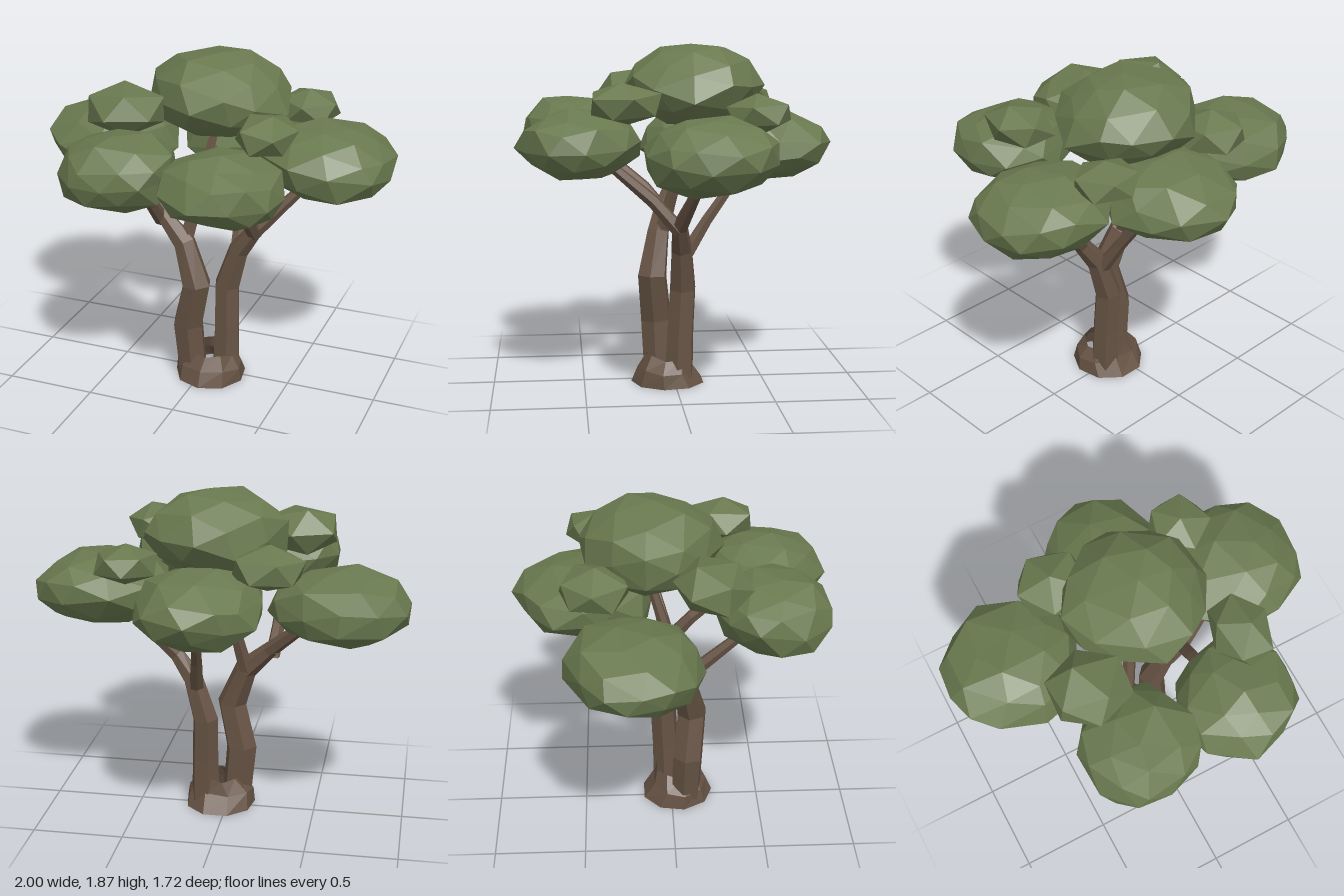
import * as THREE from 'three';
import { mergeVertices } from 'three/addons/utils/BufferGeometryUtils.js';

const bark = new THREE.MeshStandardMaterial({ color: 0x665344, flatShading: true, side: THREE.DoubleSide });
const leaf = new THREE.MeshStandardMaterial({ color: 0x69794f, flatShading: true });

function seeded(seed) {
  let s = seed * 7919 + 17;
  return () => (s = (s * 16807) % 2147483647) / 2147483647;
}

function facet(geometry) {
  const g = geometry.toNonIndexed();
  g.computeVertexNormals();
  return g;
}

// Open faceted limb lofted through points [x, y, z, radius]
function limb(points, sides = 6) {
  const centres = points.map(p => new THREE.Vector3(p[0], p[1], p[2]));
  const up = new THREE.Vector3(0, 1, 0);
  const pos = [], index = [];
  centres.forEach((c, i) => {
    const before = centres[Math.max(i - 1, 0)];
    const after = centres[Math.min(i + 1, centres.length - 1)];
    const q = new THREE.Quaternion().setFromUnitVectors(up, after.clone().sub(before).normalize());
    for (let k = 0; k < sides; k++) {
      const a = (k + 0.3) / sides * Math.PI * 2;
      const v = new THREE.Vector3(Math.sin(a), 0, Math.cos(a)).multiplyScalar(points[i][3]);
      pos.push(...v.applyQuaternion(q).add(c).toArray());
      if (i === 0) continue;
      const n = (k + 1) % sides, lo = (i - 1) * sides, hi = i * sides;
      index.push(lo + k, lo + n, hi + n, lo + k, hi + n, hi + k);
    }
  });
  const g = new THREE.BufferGeometry();
  g.setAttribute('position', new THREE.Float32BufferAttribute(pos, 3));
  g.setIndex(index);
  return facet(g);
}

// Flared, uneven root base: rings of [y, centre x, centre z, radius x, radius z]
function roots(rings, sides = 9) {
  const rnd = seeded(5);
  const g = new THREE.CylinderGeometry(1, 1, 1, sides, rings.length - 1, true);
  const p = g.attributes.position;
  const uneven = Array.from({ length: sides }, () => (rnd() - 0.5) * 0.06);
  for (let i = 0; i < p.count; i++) {
    const ring = Math.round((p.getY(i) + 0.5) * (rings.length - 1));
    const [y, cx, cz, rx, rz] = rings[ring];
    const lift = ring ? uneven[(i % (sides + 1)) % sides] * ring * 0.5 : 0;
    p.setXYZ(i, cx + p.getX(i) * rx, y + lift, cz + p.getZ(i) * rz);
  }
  return facet(g);
}

// Irregular leaf clump fitted to the box between min and max
function clump(min, max, detail, seed) {
  const rnd = seeded(seed);
  let g = new THREE.IcosahedronGeometry(1, detail);
  g.deleteAttribute('uv');
  g.deleteAttribute('normal');
  g = mergeVertices(g, 1e-3);
  g.rotateX(rnd() * 3).rotateY(rnd() * 6);
  const p = g.attributes.position;
  const jitter = detail ? 0.16 : 0.08;
  for (let i = 0; i < p.array.length; i++) p.array[i] += (rnd() - 0.5) * jitter;
  g.computeBoundingBox();
  const size = g.boundingBox.getSize(new THREE.Vector3());
  const mid = g.boundingBox.getCenter(new THREE.Vector3());
  g.translate(-mid.x, -mid.y, -mid.z);
  g.scale(...[0, 1, 2].map(i => (max[i] - min[i]) / size.getComponent(i)));
  g.translate(...[0, 1, 2].map(i => (max[i] + min[i]) / 2));
  return facet(g);
}

export function createModel() {
  const tree = new THREE.Group();
  tree.name = 'tree';
  const add = (name, geometry, material) => {
    const mesh = new THREE.Mesh(geometry, material);
    mesh.name = name;
    tree.add(mesh);
  };

  add('rootBase', roots([
    [0, 0.045, 0.033, 0.2, 0.205],
    [0.09, 0.045, 0.048, 0.19, 0.155],
    [0.17, 0.06, 0.035, 0.125, 0.125],
  ]), bark);

  // Twin trunks and the branches that fork from them
  const limbs = {
    leftTrunk: [[-0.045, 0.03, 0.08, 0.085], [-0.07, 0.33, 0.09, 0.09], [-0.01, 0.59, 0.115, 0.085],
      [-0.095, 0.81, 0.075, 0.065], [-0.23, 0.94, 0.04, 0.045], [-0.47, 1.16, -0.08, 0.03], [-0.6, 1.28, -0.15, 0.022]],
    rightTrunk: [[0.12, 0.03, -0.02, 0.085], [0.12, 0.3, -0.03, 0.078], [0.115, 0.54, -0.043, 0.076],
      [0.185, 0.77, -0.03, 0.06], [0.285, 0.91, -0.01, 0.045], [0.52, 1.16, -0.09, 0.028], [0.62, 1.27, -0.13, 0.022]],
    frontLeftBranch: [[-0.25, 0.91, 0.03, 0.042], [-0.265, 1.05, 0.14, 0.037], [-0.27, 1.3, 0.42, 0.025]],
    frontRightBranch: [[0.285, 0.89, -0.01, 0.042], [0.275, 1.05, 0.13, 0.037], [0.28, 1.3, 0.42, 0.025]],
    crownBranch: [[-0.1, 0.8, 0.06, 0.045], [-0.05, 1.04, 0.0, 0.036], [0.02, 1.5, -0.14, 0.022]],
    backBranch: [[0.165, 0.73, -0.05, 0.042], [0.14, 0.92, -0.17, 0.033], [0.1, 1.28, -0.43, 0.022]],
  };
  for (const [name, points] of Object.entries(limbs)) add(name, limb(points), bark);

  // Leaf clumps: name, min corner, max corner, detail
  const clumps = [
    ['leftClump', [-1, 1.11, -0.57], [-0.25, 1.5, 0.15], 1],
    ['rightClump', [0.29, 1.13, -0.49], [1, 1.53, 0.2], 1],
    ['frontLeftClump', [-0.57, 1.18, 0.21], [0.04, 1.57, 0.82], 1],
    ['frontRightClump', [-0.03, 1.17, 0.2], [0.61, 1.55, 0.86], 1],
    ['backClump', [-0.26, 1.12, -0.86], [0.43, 1.53, -0.1], 1],
    ['crownClump', [-0.35, 1.43, -0.49], [0.44, 1.87, 0.28], 1],
    ['smallFrontLeftClump', [-0.57, 1.47, -0.01], [-0.18, 1.72, 0.4], 0],
    ['smallFrontRightClump', [0.28, 1.47, 0.1], [0.6, 1.69, 0.46], 0],
    ['smallBackLeftClump', [-0.47, 1.42, -0.59], [-0.09, 1.66, -0.23], 0],
    ['smallBackRightClump', [0.3, 1.42, -0.57], [0.62, 1.63, -0.23], 0],
  ];
  clumps.forEach(([name, min, max, detail], i) => add(name, clump(min, max, detail, i + 3), leaf));

  return tree;
}
